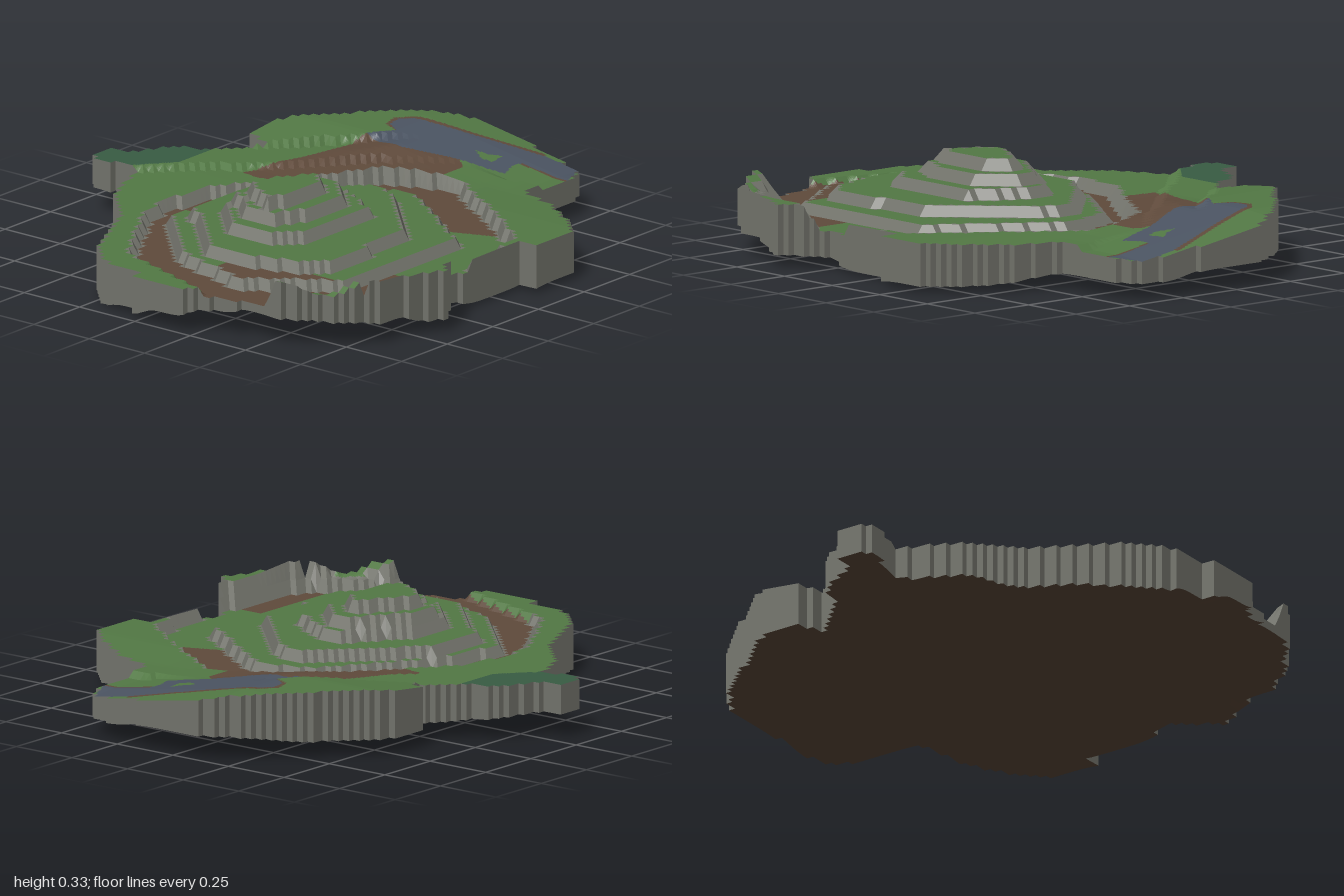
import * as THREE from 'three';

const STEP = 2 / 78, NX = 71, NZ = 78;
const X0 = -NX * STEP / 2, Z0 = -1;
const { clamp, lerp } = THREE.MathUtils;

// Outlines on the ground plane, as [x, z] corners
const coast = [[-.09, -1.01], [.07, -1.01], [.19, -.98], [.39, -.95], [.44, -.87], [.44, -.64], [.48, -.57], [.61, -.53],
  [.79, -.42], [.89, -.32], [.89, -.14], [.81, -.12], [.8, .12], [.79, .24], [.84, .31], [.91, .4], [.85, .48],
  [.84, .65], [.74, .77], [.58, .89], [.5, .89], [.35, .92], [.27, .94], [.19, 1.01], [0, 1.01], [-.03, .95],
  [-.21, .93], [-.31, .81], [-.39, .66], [-.45, .53], [-.63, .35], [-.71, .13], [-.79, .12], [-.83, .16],
  [-.92, .13], [-.92, .04], [-.83, .02], [-.76, -.13], [-.63, -.18], [-.5, -.32], [-.6, -.37], [-.6, -.51],
  [-.5, -.63], [-.34, -.81], [-.21, -.93]];
const moat = [[.1, -.48], [.17, -.5], [.24, -.49], [.55, -.3], [.78, -.13], [.785, .12], [.83, .14], [.83, .28], [.8, .33],
  [.78, .66], [.5, .86], [.5, 1], [.27, .95], [-.18, .8], [-.4, .45], [-.43, .3], [-.4, .1], [-.27, -.08], [-.05, -.42]];
const terraces = [
  { y: .172, p: [[.16, -.33], [.2, -.32], [.61, -.03], [.61, .6], [.3, .81], [-.02, .71], [-.33, .42], [-.31, .2], [-.23, .02], [-.03, -.27]] },
  { y: .21, p: [[.06, -.22], [.16, -.21], [.49, .1], [.51, .53], [.42, .62], [.24, .68], [.06, .68], [-.25, .38], [-.25, .12], [-.03, -.13]] },
  { y: .248, p: [[.04, -.05], [.11, -.04], [.31, .08], [.31, .45], [.2, .53], [.04, .52], [-.13, .36], [-.13, .2]] },
  { y: .288, p: [[.03, .02], [.13, .02], [.23, .13], [.23, .3], [.18, .44], [.05, .45], [-.09, .34], [-.09, .2]] },
  { y: .33, p: [[.05, .1], [.1, .1], [.15, .16], [.15, .35], [.12, .42], [-.04, .33], [-.05, .25]] },
];
const pond = [[-.26, -.76], [-.22, -.8], [-.02, -.86], [.24, -.945], [.39, -.96], [.45, -.83], [.25, -.82], [.24, -.78], [.27, -.7],
  [.2, -.68], [.1, -.66], [-.09, -.57], [-.25, -.57], [-.19, -.66], [-.25, -.7]];
const shore = [[-.28, -.76], [-.23, -.82], [-.02, -.88], [.24, -.965], [.25, -.94], [.45, -.83], [.45, -.815], [.25, -.81],
  [.1, -.78], [-.19, -.66], [-.26, -.69]];
const islet = [[.08, -.77], [.13, -.775], [.17, -.81], [.18, -.74], [.14, -.73]];
const dirtSlope = [[-.25, -.57], [.1, -.66], [.15, -.62], [.15, -.49], [-.05, -.42], [-.28, -.08], [-.42, -.1], [-.33, -.3], [-.28, -.45]];

// Height of the underside at a few places, as [x, z, y]
const under = [[-.25, .89, 0], [-.05, .97, .025], [.13, .99, .06], [.3, .93, .085], [.45, .9, .105], [.6, .86, .1],
  [.74, .77, .092], [.84, .63, .078], [.89, .4, .045], [.8, 0, .013], [.5, .1, .032], [.85, -.3, .025],
  [.4, -.85, .058], [0, -1, .085], [-.5, -.5, .06], [-.9, .1, .09], [-.65, .3, .05], [.1, .1, .055],
  [.1, .6, .055], [-.45, .55, .02]];

function inside(p, x, z) {
  let hit = false;
  for (let i = 0, j = p.length - 1; i < p.length; j = i++) {
    const [xi, zi] = p[i], [xj, zj] = p[j];
    if ((zi > z) !== (zj > z) && x < (xj - xi) * (z - zi) / (zj - zi) + xi) hit = !hit;
  }
  return hit;
}

// Diagonal banks: positive on the north-west side
const upperBank = (x, z) => -.32 - z - (x + .5) * .93;
const lowerBank = (x, z) => .12 - z - (Math.min(x, .1) + .71) * .94 - Math.max(x - .1, 0) * .1;

// Craggy south-east rim, with a bare slope on its inner side
const onRim = (x, z) => x > .45 && z > .26 && !inside(moat, x, z);
const onRimSlope = (x, z) => onRim(x, z) && inside(moat, x - .026, z - .02);

function topHeight(x, z) {
  for (let i = terraces.length - 1; i >= 0; i--) if (inside(terraces[i].p, x, z)) return terraces[i].y;
  if (inside(moat, x, z)) return .135;
  if (onRimSlope(x, z)) return .18;
  if (onRim(x, z)) return .215 - .025 * Math.cos((clamp(z, .7, .9) - .8) * 31) - .015 * clamp((.7 - z) / .2, 0, 1);
  const plateau = .21 + .03 * clamp((-z - .3) / .28, 0, 1) - .012 * clamp((-z - .85) / .15, 0, 1)
    - .095 * clamp((x + .2) / .6, 0, 1);
  if (x > -.63 && upperBank(x, z) > 0 && z < -.3) return plateau;
  if (lowerBank(x, z) > 0) return lerp(.197, Math.min(plateau, .225), clamp((x + .38) / .25, 0, 1));
  if (z > 0) return .178 - .014 * z;
  return .178 + .02 * clamp((-z - .15) / .4, 0, 1) * clamp((.3 - x) / .3, 0, 1) - .01 * clamp((-z - .35) / .2, 0, 1) * clamp(x / .4, 0, 1);
}

function bottomHeight(x, z) {
  let sum = 0, total = 0;
  for (const [px, pz, y] of under) {
    const w = 1 / ((x - px) ** 2 + (z - pz) ** 2 + .004) ** 2;
    sum += w * y;
    total += w;
  }
  return sum / total;
}

function groundCover(x, z) {
  if (inside(islet, x, z)) return 'grass';
  if (inside(pond, x, z)) return 'water';
  if (inside(shore, x, z)) return 'dirt';
  if (x < -.63 - .1 * clamp(z / .12, 0, 1) && lowerBank(x, z) > 0) return 'darkGrass';
  if (inside(dirtSlope, x, z)) return 'dirt';
  if (inside(terraces[0].p, x, z))
    return !inside(terraces[1].p, x, z) && z > .6 && x > .16 ? 'dirt' : 'grass';
  if (inside(moat, x, z)) return x > .45 && z > .04 - x * .4 && z < .34 ? 'grass' : 'dirt';
  return onRimSlope(x, z) ? 'rock' : 'grass';
}

export function createModel() {
  const group = new THREE.Group();
  const parts = {
    grass: { name: 'grassland', color: 0x527844, v: [] },
    darkGrass: { name: 'darkGrassSpur', color: 0x385c43, v: [] },
    dirt: { name: 'dirtPath', color: 0x5f4a3b, v: [] },
    water: { name: 'pond', color: 0x4b5462, v: [] },
    rock: { name: 'rockFaces', color: 0x72736b, v: [] },
    earth: { name: 'earthUnderside', color: 0x594536, v: [] },
  };
  const quad = (key, a, b, c, d) => parts[key].v.push(...a, ...b, ...c, ...a, ...c, ...d);

  // Grid corners, top and bottom
  const top = [], bottom = [];
  for (let i = 0; i <= NX; i++) {
    top.push([]);
    bottom.push([]);
    for (let j = 0; j <= NZ; j++) {
      const x = X0 + i * STEP, z = Z0 + j * STEP;
      top[i].push([x, topHeight(x, z), z]);
      bottom[i].push([x, bottomHeight(x, z), z]);
    }
  }
  const isLand = (i, j) => i >= 0 && j >= 0 && i < NX && j < NZ &&
    inside(coast, X0 + (i + .5) * STEP, Z0 + (j + .5) * STEP);

  // One cell of ground, cut finer where two covers meet
  function groundCell(t) {
    const mixed = new Set(t.map(p => groundCover(p[0], p[2]))).size > 1;
    const n = mixed ? 4 : 1;
    const at = (a, b) => t[0].map((_, k) => lerp(lerp(t[0][k], t[3][k], a / n), lerp(t[1][k], t[2][k], a / n), b / n));
    for (let a = 0; a < n; a++) for (let b = 0; b < n; b++) {
      const mid = at(a + .5, b + .5);
      quad(groundCover(mid[0], mid[2]), at(a, b), at(a, b + 1), at(a + 1, b + 1), at(a + 1, b));
    }
  }

  // Ground, underside and outer cliffs, cell by cell
  for (let i = 0; i < NX; i++) for (let j = 0; j < NZ; j++) {
    if (!isLand(i, j)) continue;
    const corners = [[i, j], [i, j + 1], [i + 1, j + 1], [i + 1, j]];
    const t = corners.map(([a, b]) => top[a][b]);
    const u = corners.map(([a, b]) => bottom[a][b]);
    const ys = t.map(p => p[1]);
    if (Math.max(...ys) - Math.min(...ys) > .0315) quad('rock', ...t);
    else groundCell(t);
    quad('earth', u[3], u[2], u[1], u[0]);
    [[-1, 0], [0, 1], [1, 0], [0, -1]].forEach(([di, dj], k) => {
      const n = (k + 1) % 4;
      if (!isLand(i + di, j + dj)) quad('rock', t[k], u[k], u[n], t[n]);
    });
  }

  for (const [key, { name, color, v }] of Object.entries(parts)) {
    const geometry = new THREE.BufferGeometry();
    geometry.setAttribute('position', new THREE.Float32BufferAttribute(v, 3));
    geometry.computeVertexNormals();
    const material = new THREE.MeshStandardMaterial({ color });
    material.name = key;
    const mesh = new THREE.Mesh(geometry, material);
    mesh.name = name;
    group.add(mesh);
  }
  return group;
}
